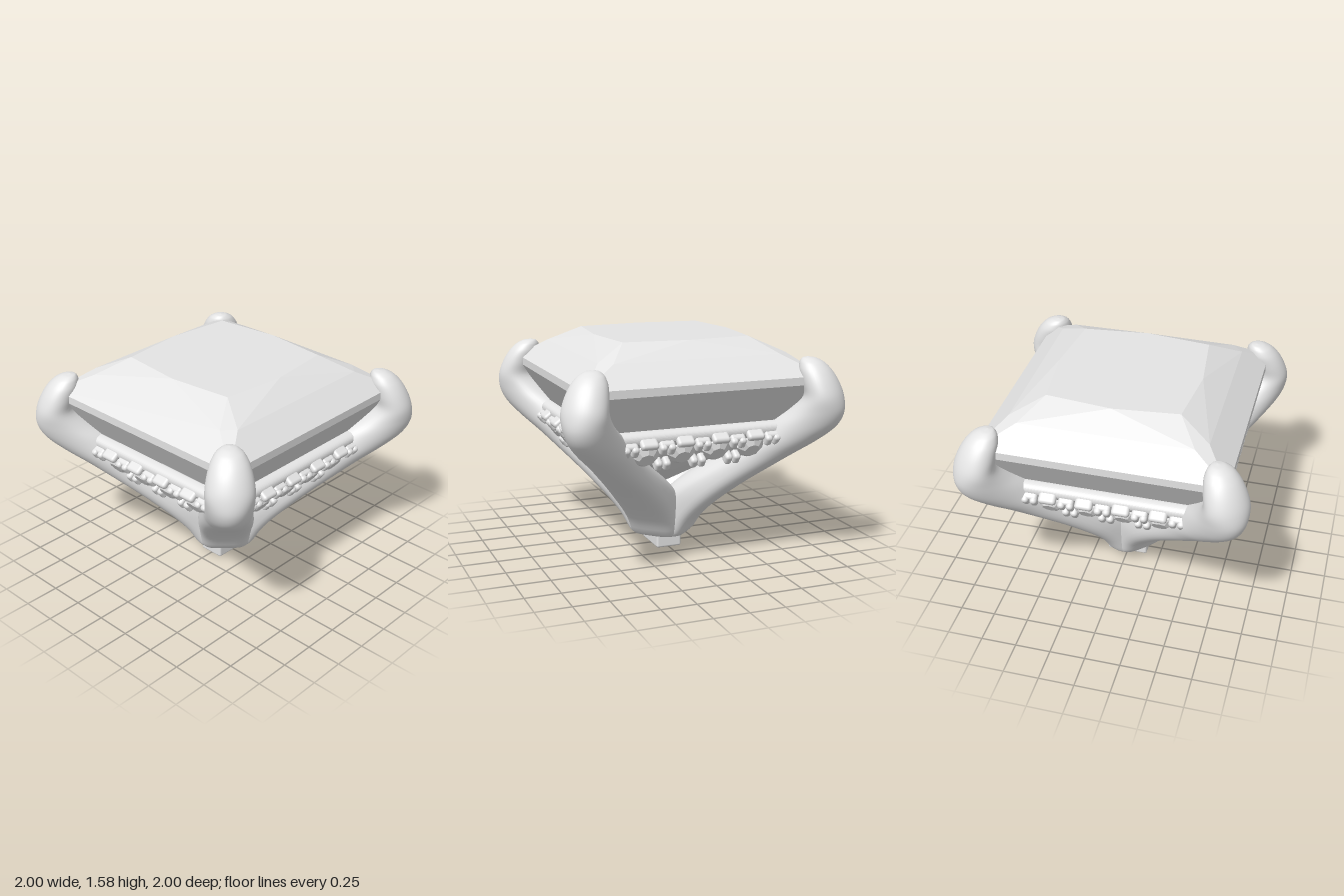
import * as THREE from 'three';
import { ConvexGeometry } from 'three/addons/geometries/ConvexGeometry.js';
import { RoundedBoxGeometry } from 'three/addons/geometries/RoundedBoxGeometry.js';

const grey = new THREE.MeshStandardMaterial({ color: 0xe4e4e4 });
grey.name = 'pale grey';

function add(parent, name, geometry, x = 0, y = 0, z = 0) {
  const mesh = new THREE.Mesh(geometry, grey);
  mesh.name = name;
  mesh.position.set(x, y, z);
  parent.add(mesh);
  return mesh;
}

function flat(geometry) {
  const g = geometry.toNonIndexed();
  g.computeVertexNormals();
  return g;
}

// Square-cut stone: table, crown ring, girdle, steep then shallow pavilion
function centreGemGeometry() {
  const pts = [new THREE.Vector3(0, 0.46, 0)];
  const p = (x, y, z) => pts.push(new THREE.Vector3(x, y, z));
  for (const s of [-1, 1]) {
    p(s * 0.51, 1.58, 0);
    p(0, 1.58, s * 0.51);
    p(s * 0.21, 0.6, 0);
    p(0, 0.6, s * 0.21);
    for (const t of [-1, 1]) {
      p(s * 0.46, 1.58, t * 0.46);
      p(s * 0.6, 1.475, t * 0.68);
      p(s * 0.68, 1.475, t * 0.6);
      p(s * 0.85, 1.335, t * 0.85);
      p(s * 0.85, 1.28, t * 0.85);
      p(s * 0.62, 0.93, t * 0.62);
    }
  }
  return new ConvexGeometry(pts);
}

// Claw lofted from horizontal sections along the x = z diagonal, squarer towards the foot
function prongGeometry() {
  // height, diagonal position, radial half width, tangential half width
  const sections = [
    [0.1, 0.04, 0.15, 0.18], [0.25, 0.095, 0.175, 0.19], [0.46, 0.225, 0.23, 0.2],
    [0.74, 0.5, 0.24, 0.168], [0.9, 0.665, 0.245, 0.158], [1.0, 0.75, 0.24, 0.157],
    [1.1, 0.818, 0.19, 0.158], [1.2, 0.85, 0.136, 0.16], [1.3, 0.83, 0.125, 0.146],
    [1.38, 0.803, 0.11, 0.12], [1.43, 0.785, 0.08, 0.086], [1.455, 0.772, 0.045, 0.045],
    [1.463, 0.766, 0, 0],
  ];
  const middle = new THREE.CatmullRomCurve3(sections.map(s => new THREE.Vector3(s[1], s[0], 0)));
  const widths = new THREE.CatmullRomCurve3(sections.map(s => new THREE.Vector3(s[2], s[3], s[0])));
  const rows = 60, sides = 40, pos = [], index = [];
  const ring = (c, w, k) => {
    const power = 2 / THREE.MathUtils.mapLinear(Math.min(c.y, 0.8), 0.1, 0.8, 3.6, 2);
    const bend = v => Math.sign(v) * Math.abs(v) ** power;
    for (let j = 0; j < sides; j++) {
      const t = j / sides * Math.PI * 2;
      const r = bend(Math.cos(t)) * w.x * k * Math.SQRT1_2;
      const q = bend(Math.sin(t)) * w.y * k * Math.SQRT1_2;
      pos.push(c.x + r - q, c.y, c.x + r + q);
    }
  };
  // closed foot
  ring(middle.getPoint(0), widths.getPoint(0), 0);
  ring(middle.getPoint(0), widths.getPoint(0), 0.95);
  for (let i = 0; i <= rows; i++) {
    const c = middle.getPoint(i / rows);
    if (i === 0) c.y += 0.01;
    ring(c, widths.getPoint(i / rows), 1);
  }
  for (let i = 0; i < rows + 2; i++) {
    for (let j = 0; j < sides; j++) {
      const a = i * sides + j, b = i * sides + (j + 1) % sides;
      index.push(a, a + sides, b, b, a + sides, b + sides);
    }
  }
  const g = new THREE.BufferGeometry();
  g.setAttribute('position', new THREE.Float32BufferAttribute(pos, 3));
  g.setIndex(index);
  g.computeVertexNormals();
  return g;
}

// Bar between two prongs, profile drawn in (z, y)
function railGeometry() {
  const s = new THREE.Shape();
  s.moveTo(0.54, 1.02);
  s.lineTo(0.69, 1.02);
  s.quadraticCurveTo(0.76, 1.01, 0.745, 0.95);
  s.lineTo(0.62, 0.79);
  s.quadraticCurveTo(0.59, 0.75, 0.55, 0.765);
  s.lineTo(0.42, 0.85);
  const length = 1.2;
  const g = new THREE.ExtrudeGeometry(s, { depth: length, bevelEnabled: false });
  g.translate(0, 0, -length / 2);
  g.rotateY(-Math.PI / 2);
  return g;
}

// One side: bar, four small stones, their claws and rims
function createRail() {
  const rail = new THREE.Group();
  rail.name = 'sideRail';
  add(rail, 'railBar', railGeometry());

  const setting = new THREE.Group();
  setting.name = 'stoneSetting';
  setting.position.set(0, 0.865, 0.675);
  setting.rotation.x = 0.62;
  rail.add(setting);

  const stone = flat(new THREE.CylinderGeometry(0.055, 0.1, 0.035, 8).rotateX(Math.PI / 2));
  const girdle = flat(new THREE.CylinderGeometry(0.1, 0.09, 0.06, 8).rotateX(Math.PI / 2));
  const claw = new RoundedBoxGeometry(0.052, 0.08, 0.11, 3, 0.022);
  const rim = new RoundedBoxGeometry(0.125, 0.05, 0.1, 3, 0.022);
  const bridge = new RoundedBoxGeometry(0.11, 0.045, 0.09, 3, 0.02);

  for (const x of [-0.385, -0.128, 0.128, 0.385]) {
    add(setting, 'smallStone', stone, x, -0.01, 0.0375);
    add(setting, 'smallStoneGirdle', girdle, x, -0.01, -0.01);
    add(setting, 'stoneRim', rim, x, 0.11, 0.01);
  }
  for (const x of [-0.514, -0.257, 0, 0.257, 0.514]) {
    for (const d of [-0.03, 0.03]) {
      add(setting, 'upperClaw', claw, x + d, 0.075, 0.015);
      if (Math.abs(x + d) < 0.5) add(setting, 'lowerClaw', claw, x + d, -0.085, 0.015);
    }
    add(setting, 'upperBridge', bridge, x, 0.095, 0);
    if (Math.abs(x) < 0.5) add(setting, 'lowerBridge', bridge, x, -0.1, 0);
  }
  // fading claws where the bar meets the prongs
  for (const x of [-0.59, 0.59]) add(setting, 'endClaw', claw, x, 0.08, 0.02);
  return rail;
}

export function createModel() {
  const model = new THREE.Group();
  model.name = 'gemSetting';

  add(model, 'centreGem', centreGemGeometry());

  const prong = prongGeometry();
  for (let i = 0; i < 4; i++) {
    add(model, 'prong', prong).rotation.y = i * Math.PI / 2;
    const rail = createRail();
    rail.rotation.y = i * Math.PI / 2;
    model.add(rail);
  }

  // foot peg
  add(model, 'peg', new RoundedBoxGeometry(0.3, 0.13, 0.19, 3, 0.015), 0, 0.065, 0);
  return model;
}
